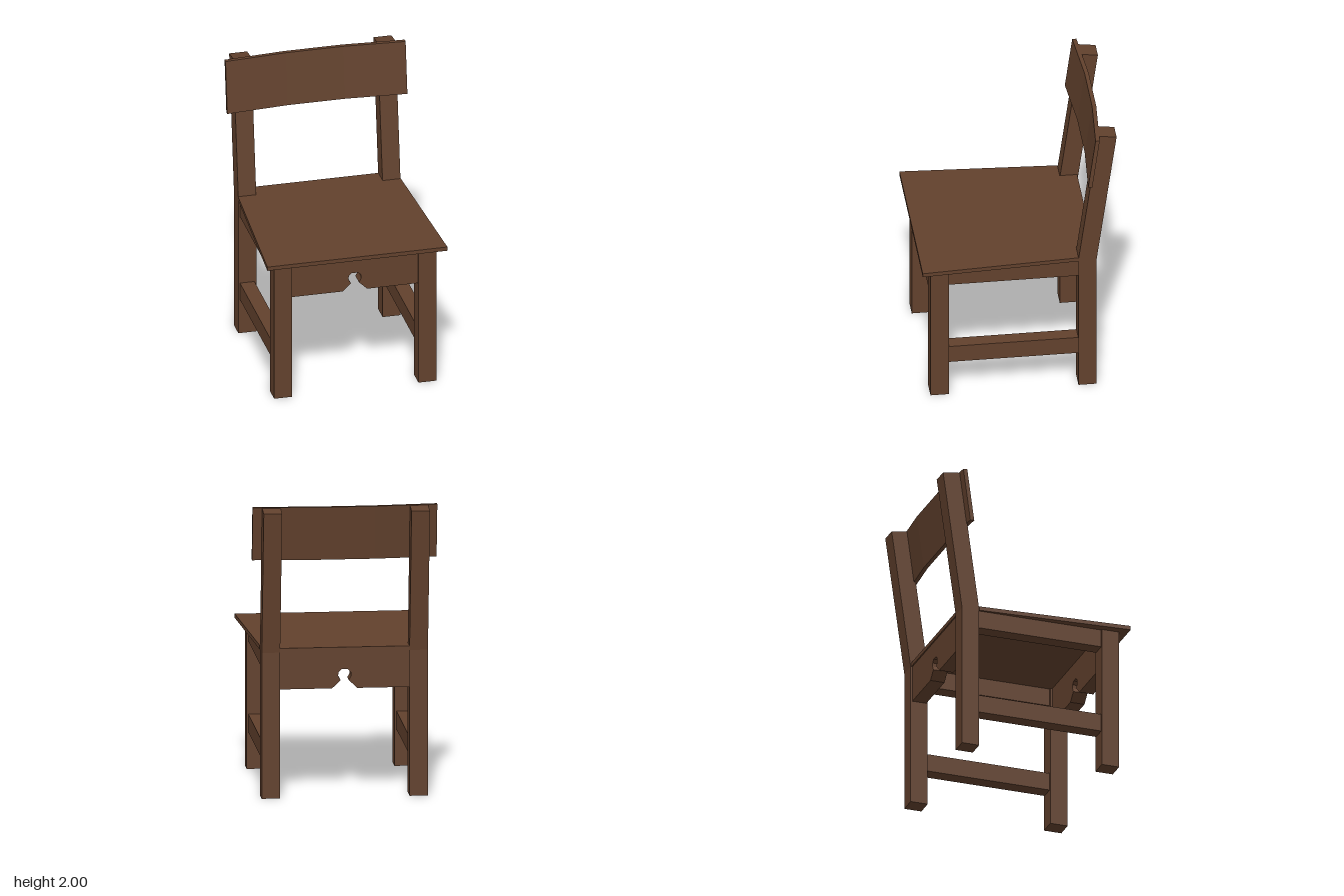
import * as THREE from 'three';

const wood = new THREE.MeshStandardMaterial({ color: 0x62412d });
wood.name = 'brown wood';

function makeShape(points) {
  return new THREE.Shape(points.map(([x, y]) => new THREE.Vector2(x, y)));
}

function extrude(points, depth) {
  return new THREE.ExtrudeGeometry(makeShape(points), { depth, bevelEnabled: false });
}

// Extrudes a plan outline given as [x, z] upward from y = 0
function slab(plan, height) {
  return extrude(plan.map(([x, z]) => [x, -z]), height).rotateX(-Math.PI / 2);
}

// Outline from its right half, mirrored to the left
function mirrored(half) {
  return [...half, ...half.map(([x, y]) => [-x, y]).reverse()];
}

export function createModel() {
  const group = new THREE.Group();

  const add = (name, geometry, x = 0, y = 0, z = 0) => {
    const mesh = new THREE.Mesh(geometry, wood);
    mesh.name = name;
    mesh.position.set(x, y, z);
    group.add(mesh);
  };
  // Box between y and z limits
  const bar = (name, x, width, y0, y1, z0, z1) =>
    add(name, new THREE.BoxGeometry(width, y1 - y0, z1 - z0), x, (y0 + y1) / 2, (z0 + z1) / 2);

  // Tapered seat, notched around the back posts
  add('seat', slab(mirrored([
    [0.623, 0.66], [0.563, -0.402], [0.437, -0.402], [0.437, -0.52],
  ]), 0.028), 0, 1.0, 0);

  for (const [side, s] of [['left', 1], ['right', -1]]) {
    const x = s * 0.499;
    bar(side + 'FrontLeg', x, 0.124, 0, 1.0, 0.476, 0.6);
    bar(side + 'SideApron', s * 0.5, 0.1, 0.876, 1.0, -0.402, 0.476);
    bar(side + 'Stretcher', s * 0.5, 0.1, 0.252, 0.376, -0.402, 0.476);

    // Back leg bends backward above the seat; profile is [-z, y]
    const post = extrude([
      [0.402, 0], [0.524, 0], [0.524, 1.0], [0.66, 1.98], [0.538, 1.997], [0.402, 1.01],
    ], 0.124);
    post.translate(0, 0, -0.062).rotateY(Math.PI / 2);
    add(side + 'BackPost', post, x);
  }

  // Aprons with a keyhole cutout in the lower edge
  const apronOutline = mirrored([
    [0.022, 0.875], [0.042, 0.855], [0.044, 0.83], [0.028, 0.8],
    [0.085, 0.745], [0.438, 0.745], [0.438, 1.0],
  ]);
  add('frontApron', extrude(apronOutline, 0.1), 0, 0, 0.49);
  add('backApron', extrude(apronOutline, 0.1), 0, 0, -0.512);

  // Bowed backrest, sheared to follow the lean of the posts
  const height = 0.37;
  const front = [[-0.623, -0.46], [-0.2, -0.49], [0.2, -0.49], [0.623, -0.46]];
  const back = front.map(([x, z]) => [x, z - 0.028]).reverse();
  const rest = slab([...front, ...back], height);
  const p = rest.attributes.position;
  for (let i = 0; i < p.count; i++) p.setZ(i, p.getZ(i) - 0.05 * p.getY(i) / height);
  rest.computeVertexNormals();
  add('backrest', rest, 0, 1.63, 0);

  return group;
}
